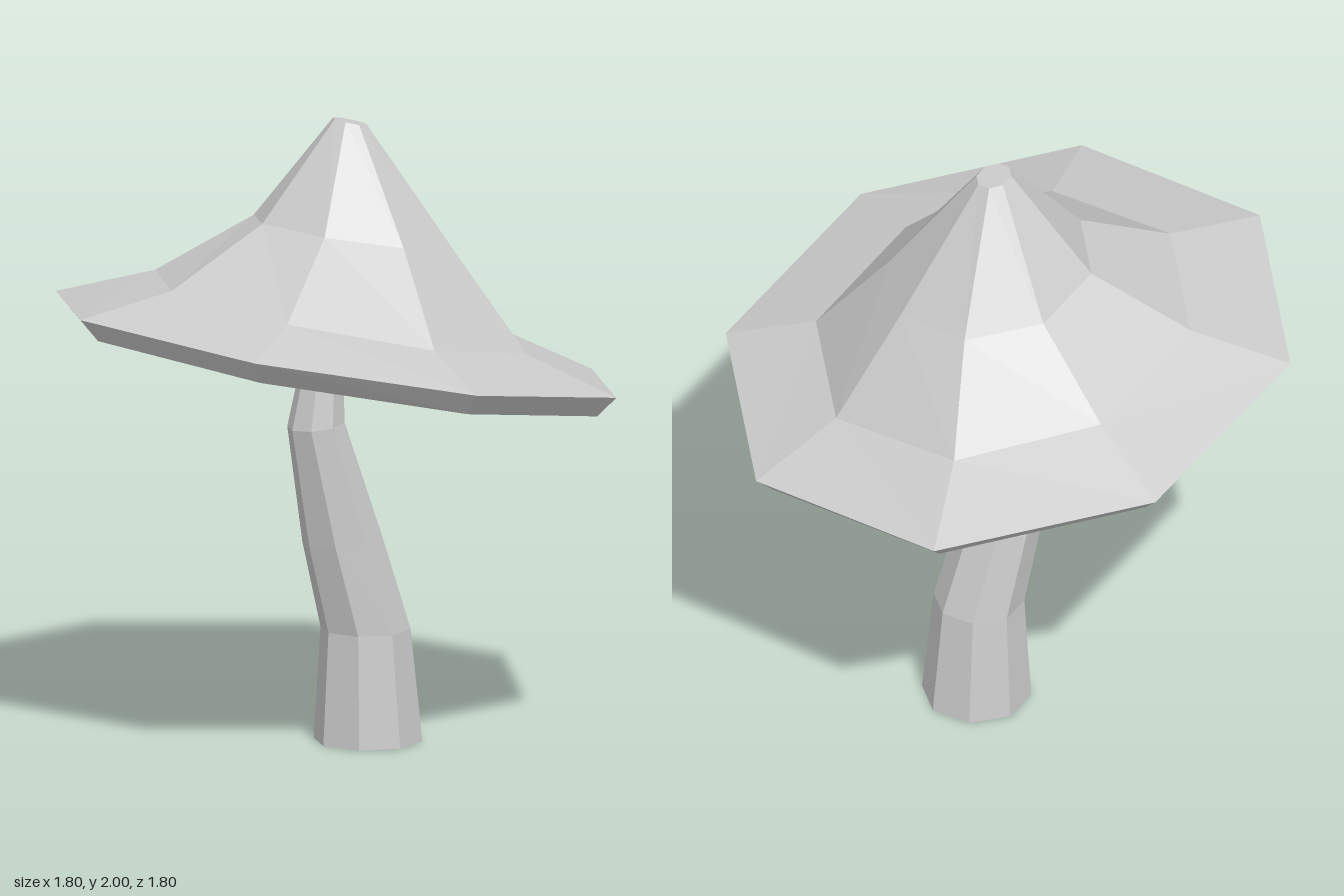
import * as THREE from 'three';

const SIDES = 8;

// Lofts flat-shaded octagonal rings, each { x, y, z, r } with optional slopes along x and z.
function loft(name, rings, startAngle, side) {
  const corner = (ring, j) => {
    const a = startAngle + (j / SIDES) * Math.PI * 2;
    const dx = ring.r * Math.cos(a), dz = ring.r * Math.sin(a);
    const dy = (ring.sx || 0) * dx + (ring.sz || 0) * dz;
    return [ring.x + dx, ring.y + dy, ring.z + dz];
  };
  const points = [];
  for (let i = 0; i < rings.length - 1; i++) {
    const lo = rings[i], hi = rings[i + 1];
    for (let j = 0; j < SIDES; j++) {
      const a = corner(lo, j), b = corner(hi, j), c = corner(hi, j + 1), d = corner(lo, j + 1);
      if (hi.r > 0) points.push(...a, ...b, ...c);
      if (lo.r > 0) points.push(...a, ...c, ...d);
    }
  }
  const geometry = new THREE.BufferGeometry();
  geometry.setAttribute('position', new THREE.Float32BufferAttribute(points, 3));
  geometry.computeVertexNormals();
  const material = new THREE.MeshStandardMaterial({ color: 0xcccccc, flatShading: true, side });
  const mesh = new THREE.Mesh(geometry, material);
  mesh.name = name;
  return mesh;
}

export function createModel() {
  const group = new THREE.Group();
  group.name = 'mushroom';

  // Bent, tapering stalk, open at the foot
  const stalk = [
    { x: 0.12, y: 0, z: -0.04, r: 0.172 },
    { x: 0.11, y: 0.36, z: -0.035, r: 0.143 },
    { x: 0.03, y: 0.65, z: -0.025, r: 0.127, sx: 0.1 },
    { x: -0.068, y: 1.03, z: 0.005, r: 0.091, sx: 0.11 },
    { x: -0.045, y: 1.26, z: 0.005, r: 0.062 },
    { x: -0.033, y: 1.39, z: 0.0, r: 0.048 },
  ];
  group.add(loft('stalk', stalk, THREE.MathUtils.degToRad(28.5), THREE.DoubleSide));

  // Tilted cap: hollow underside, rim, flared brim, cone and flat tip
  const cap = [
    { x: 0, y: 1.38, z: 0, r: 0 },
    { x: 0, y: 1.3, z: 0, r: 0.52, sx: -0.19, sz: 0.03 },
    { x: 0, y: 1.215, z: 0, r: 0.85, sx: -0.19, sz: 0.035 },
    { x: 0, y: 1.28, z: 0, r: 0.912, sx: -0.185, sz: 0.04 },
    { x: 0.02, y: 1.38, z: -0.01, r: 0.605, sx: -0.215, sz: 0.02 },
    { x: 0.065, y: 1.63, z: -0.02, r: 0.325, sx: -0.18, sz: 0.06 },
    { x: 0.055, y: 1.985, z: -0.02, r: 0.056, sx: -0.24, sz: 0.02 },
    { x: 0.055, y: 1.985, z: -0.02, r: 0 },
  ];
  group.add(loft('cap', cap, THREE.MathUtils.degToRad(-9.6), THREE.FrontSide));

  return group;
}
